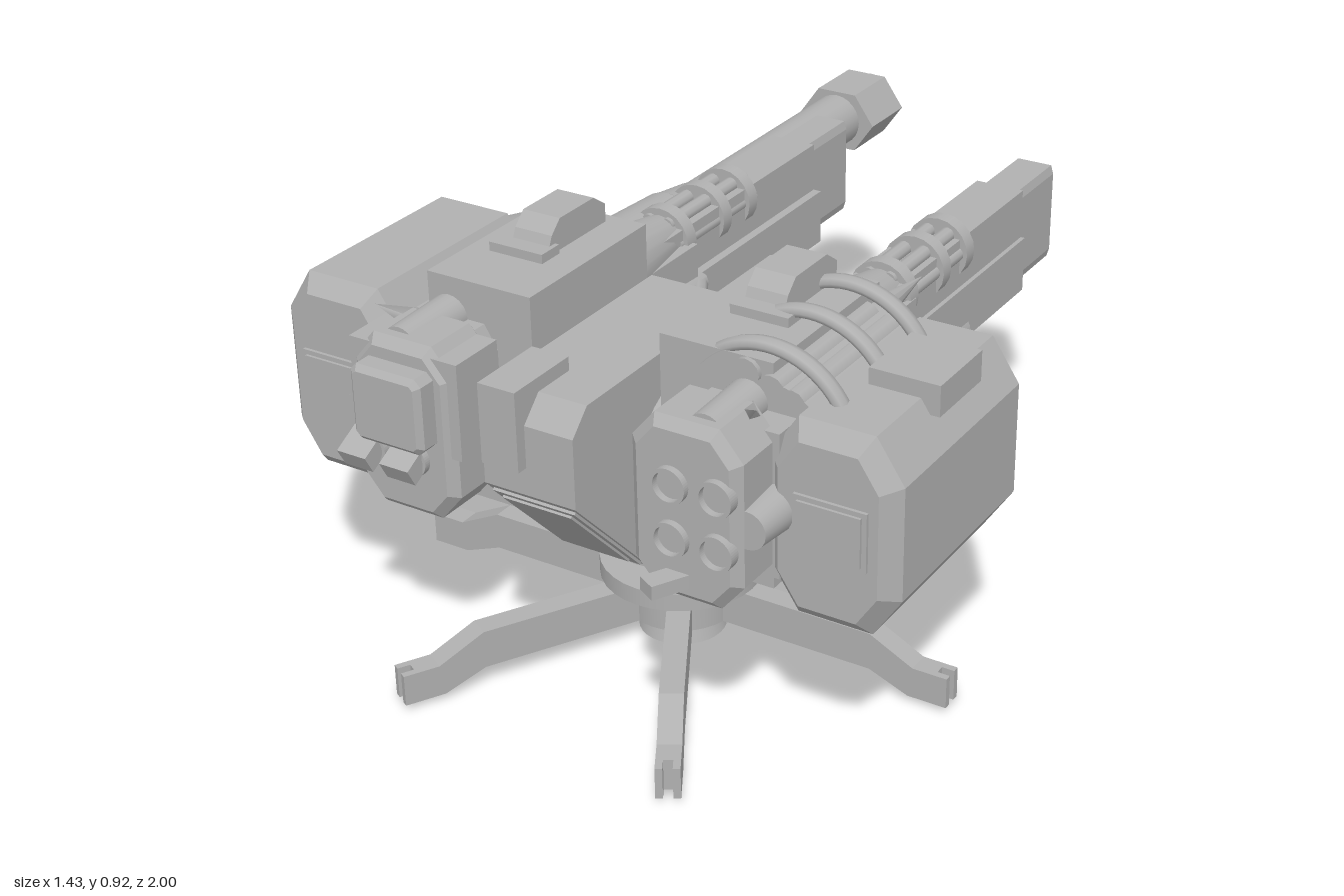
import * as THREE from 'three';

export function createModel() {
  const model = new THREE.Group();
  const steel = new THREE.MeshStandardMaterial({ color: 0xb0b0b0 });
  steel.name = 'steelGrey';

  const add = (name, geo, parent = model) => {
    const m = new THREE.Mesh(geo, steel);
    m.name = name;
    parent.add(m);
    return m;
  };
  // Box given by its limits on each axis
  const box = (name, x0, x1, y0, y1, z0, z1) => add(name,
    new THREE.BoxGeometry(Math.abs(x1 - x0), y1 - y0, z1 - z0)
      .translate((x0 + x1) / 2, (y0 + y1) / 2, (z0 + z1) / 2));
  // Round part along z, r0 at z0 and r1 at z1
  const rod = (name, x, y, z0, z1, r0, r1 = r0, n = 20) => add(name,
    new THREE.CylinderGeometry(r1, r0, z1 - z0, n).rotateX(Math.PI / 2).translate(x, y, (z0 + z1) / 2));
  // Upright round part
  const disk = (name, y0, y1, r0, r1 = r0) => add(name,
    new THREE.CylinderGeometry(r1, r0, y1 - y0, 32).translate(0, (y0 + y1) / 2, 0.43));
  const poly = pts => new THREE.Shape(pts.map(p => new THREE.Vector2(...p)));
  const octagon = (x0, x1, y0, y1, cx, cy) => poly([
    [x0 + cx, y0], [x1 - cx, y0], [x1, y0 + cy], [x1, y1 - cy],
    [x1 - cx, y1], [x0 + cx, y1], [x0, y1 - cy], [x0, y0 + cy]]);
  // Outline in x, y pushed along z with chamfered ends
  const slab = (name, shape, z0, z1, b = 0) => add(name,
    new THREE.ExtrudeGeometry(shape, {
      depth: z1 - z0 - 2 * b, bevelEnabled: b > 0, bevelThickness: b, bevelSize: b,
      bevelOffset: -b, bevelSegments: 1, curveSegments: 24,
    }).translate(0, 0, z0 + b));
  // Outline in z, y pushed along x
  const sideSlab = (name, pts, x0, x1) => add(name,
    new THREE.ExtrudeGeometry(poly(pts), { depth: x1 - x0, bevelEnabled: false })
      .rotateY(-Math.PI / 2).translate(x1, 0, 0));
  const ring = (name, x, y, z0, z1, r, hole) => {
    const s = new THREE.Shape().absarc(x, y, r, 0, Math.PI * 2);
    s.holes.push(new THREE.Path().absarc(x, y, hole, 0, Math.PI * 2, true));
    return slab(name, s, z0, z1);
  };
  const beam = (name, a, b, r) => add(name, new THREE.TubeGeometry(
    new THREE.LineCurve3(new THREE.Vector3(...a), new THREE.Vector3(...b)), 1, r, 8));

  // Pedestal and turntable
  disk('foot', 0, 0.05, 0.095, 0.08);
  disk('hub', 0.05, 0.135, 0.12);
  disk('hubFlange', 0.135, 0.175, 0.175);
  disk('post', 0.175, 0.235, 0.1);
  disk('turntable', 0.235, 0.27, 0.175);
  disk('collarRim', 0.287, 0.315, 0.157);
  disk('collar', 0.315, 0.5, 0.15, 0.107);

  // Six legs with forked tips
  for (let i = 0; i < 6; i++) {
    const leg = new THREE.Group();
    leg.name = 'leg';
    leg.position.z = 0.43;
    leg.rotation.y = i * Math.PI / 3;
    model.add(leg);
    const shape = poly([[0.05, 0.05], [0.47, 0.05], [0.56, 0.015], [0.62, 0.015],
      [0.62, 0.085], [0.57, 0.085], [0.47, 0.135], [0.05, 0.135]]);
    add('legBeam', new THREE.ExtrudeGeometry(shape, { depth: 0.05, bevelEnabled: false })
      .translate(0, 0, -0.025), leg);
    for (const s of [-1, 1]) {
      add('legProng', new THREE.BoxGeometry(0.03, 0.07, 0.015).translate(0.633, 0.05, s * 0.0175), leg);
    }
  }

  // Central cabin with raked nose and sloping back
  sideSlab('cabin', [[0.1, 0.32], [0.71, 0.32], [0.95, 0.57], [0.95, 0.72], [0.9, 0.77],
    [0.36, 0.77], [0.1, 0.56]], -0.105, 0.105);
  const plate = (name, w, h, y, z, tilt) => {
    const m = add(name, new THREE.BoxGeometry(w, h, 0.009));
    m.position.set(0, y, z);
    m.rotation.x = tilt;
  };
  plate('noseFrame', 0.19, 0.31, 0.443, 0.83, Math.atan2(0.24, 0.25));
  plate('nosePanel', 0.16, 0.27, 0.441, 0.835, Math.atan2(0.24, 0.25));
  plate('backPanel', 0.15, 0.2, 0.66, 0.22, Math.PI + Math.atan2(0.26, 0.21));
  box('sightBlock', -0.09, -0.005, 0.63, 0.8, 0.8, 0.975);
  add('axle', new THREE.CylinderGeometry(0.1, 0.1, 0.34, 32).rotateZ(Math.PI / 2)
    .scale(1, 0.95, 1.95).translate(0, 0.61, 0.515));

  for (const s of [-1, 1]) {
    // Inner housing with roof hatch
    box('innerHousing', s * 0.15, s * 0.4, 0.367, 0.855, 0.31, 0.72);
    box('innerLink', s * 0.36, s * 0.46, 0.45, 0.76, 0.34, 0.8);
    sideSlab('roofHatch', [[0.34, 0.85], [0.55, 0.85], [0.53, 0.895], [0.5, 0.923], [0.38, 0.923],
      [0.34, 0.895]], s * 0.275 - 0.045, s * 0.275 + 0.045);
    box('roofPlate', s * 0.22, s * 0.35, 0.85, 0.875, 0.52, 0.58);
    beam('strut', [s * 0.2, 0.6, 0.03], [s * 0.1, 0.6, 0.2], 0.02);
    beam('strut', [s * 0.2, 0.6, 0.03], [s * 0.17, 0.6, 0.32], 0.025);

    // Gun receiver
    box('receiver', s * 0.195, s * 0.34, 0.49, 0.62, -0.505, 0.32);
    box('receiverTop', s * 0.215, s * 0.33, 0.61, 0.735, -0.505, 0.32);
    box('receiverStep', s * 0.19, s * 0.35, 0.5, 0.7, 0.05, 0.32);
    const muzzle = octagon(s * 0.275 - 0.048, s * 0.275 + 0.048, 0.5, 0.73, 0.006, 0.02);
    const slot = octagon(s * 0.275 - 0.03, s * 0.275 + 0.03, 0.55, 0.69, 0.005, 0.005);
    slab('gunHousing', muzzle, -0.62, -0.3);
    const rim = muzzle.clone();
    rim.holes.push(slot);
    slab('gunMuzzle', rim, -0.685, -0.62);

    // Rotary barrel clusters above and below the receiver
    for (const y of [0.7, 0.495]) {
      const x = s * 0.275;
      rod('rotaryHousing', x, y, 0.03, 0.32, 0.05, 0.1);
      rod('rotaryCore', x, y, -0.2, 0.05, 0.025);
      for (let i = 0; i < 6; i++) {
        const a = i * Math.PI / 3;
        rod('rotaryBarrel', x + 0.047 * Math.cos(a), y + 0.047 * Math.sin(a), -0.24, 0.08, 0.017, 0.017, 10);
      }
      for (const z of [-0.225, -0.115, 0.035]) rod('rotaryClamp', x, y, z, z + 0.035, 0.073);
    }

    // Rear spikes
    rod('spike', s * 0.45, 0.6, 0, 0.34, 0.001, 0.045, 12);
    for (const y of [0.735, 0.47]) rod('spike', s * 0.345, y, 0.02, 0.34, 0.001, 0.05, 12);

    // Front launcher block
    const cx = s * 0.325;
    slab('launcherNeck', octagon(cx - 0.09, cx + 0.09, 0.45, 0.77, 0.03, 0.05), 0.7, 0.8);
    slab('launcher', octagon(cx - 0.12, cx + 0.12, 0.42, 0.8, 0.05, 0.06), 0.76, 0.92, 0.02);
    for (const x of [0.3, 0.4]) {
      for (const y of [0.555, 0.67]) ring('launchTube', s * x, y, 0.91, 0.935, 0.038, 0.031);
    }
    for (const y of [0.46, 0.77]) {
      rod('sideTube', s * 0.35, y, 0.7, 0.88, 0.045, 0.04);
      const fin = add('fin', new THREE.ConeGeometry(0.035, 0.13, 4));
      fin.position.set(s * 0.4, y + 0.02, 0.8);
      fin.rotation.set(0.9, 0, -s * 0.6);
    }
    rod('sideTube', s * 0.45, 0.605, 0.78, 0.9, 0.05, 0.04);

    // Outer pod face panel
    box('podPanel', s * 0.5, s * 0.655, 0.535, 0.66, 0.81, 0.822);
    box('podPanelInset', s * 0.51, s * 0.645, 0.545, 0.65, 0.815, 0.828);
  }

  // Right outer pod with rear drum
  slab('rightPod', octagon(-0.715, -0.42, 0.38, 0.82, 0.06, 0.095), 0.31, 0.815, 0.035);
  rod('rearDrum', -0.475, 0.605, 0.2, 0.34, 0.165, 0.195, 32);
  rod('drumCap', -0.46, 0.605, 0.17, 0.2, 0.1, 0.12, 24);
  for (const z of [0.33, 0.42]) box('podStud', -0.712, -0.665, 0.7, 0.77, z, z + 0.05);
  box('podSidePlate', -0.718, -0.7, 0.58, 0.7, 0.45, 0.65);

  // Left outer pod with recessed back
  const podShape = () => octagon(0.43, 0.71, 0.38, 0.8, 0.06, 0.09);
  slab('leftPod', podShape(), 0.36, 0.815, 0.035);
  const podRim = podShape();
  podRim.holes.push(octagon(0.465, 0.675, 0.42, 0.76, 0.045, 0.07));
  slab('leftPodRim', podRim, 0.31, 0.41);
  box('leftPodVent', 0.54, 0.69, 0.77, 0.835, 0.44, 0.61);

  // Long cannon on the right side
  const gx = -0.33, gy = 0.67;
  rod('cannonBreech', gx - 0.01, gy, -0.06, 0.32, 0.078, 0.095, 24);
  rod('cannonTaper', gx - 0.005, gy, -0.17, -0.06, 0.064, 0.078, 24);
  rod('cannonBarrel', gx, gy, -0.9, -0.17, 0.064, 0.064, 24);
  const hex = poly([0, 1, 2, 3, 4, 5].map(i => [
    gx + 0.103 * Math.cos(i * Math.PI / 3), gy + 0.084 * Math.sin(i * Math.PI / 3)]));
  hex.holes.push(new THREE.Path().absarc(gx, gy, 0.05, 0, Math.PI * 2, true));
  slab('cannonMuzzle', hex, -0.975, -0.82);
  ring('cannonMouth', gx, gy, -1, -0.97, 0.063, 0.05);

  // Square scanner plate on the right launcher
  slab('scanner', octagon(-0.41, -0.24, 0.59, 0.755, 0.015, 0.015), 0.9, 0.97, 0.012);
  box('scannerHood', -0.45, -0.19, 0.57, 0.78, 0.78, 0.91);
  for (const x of [-0.41, -0.305]) {
    const lamp = add('lamp', new THREE.BoxGeometry(0.07, 0.045, 0.09));
    lamp.position.set(x, 0.56, 0.93);
    lamp.rotation.x = 0.5;
  }
  const flap = add('launcherFlap', new THREE.BoxGeometry(0.045, 0.03, 0.09));
  flap.position.set(0.3, 0.47, 0.94);
  flap.rotation.y = -0.5;

  // Ammunition drum with hoops on the left housing
  for (const x of [0.345, 0.4, 0.445]) rod('ammoRail', x, 0.825 - (x - 0.345) * 0.4, 0.36, 0.73, 0.03, 0.03, 12);
  rod('ammoDrum', 0.4, 0.69, 0.33, 0.73, 0.13, 0.13, 24);
  for (const z of [0.39, 0.54, 0.7]) {
    const hoop = add('ammoHoop', new THREE.TorusGeometry(0.18, 0.014, 8, 24, Math.PI * 0.75));
    hoop.position.set(0.38, 0.7, z);
    hoop.rotation.z = 0.1;
    hoop.scale.z = 1.5;
  }
  return model;
}
